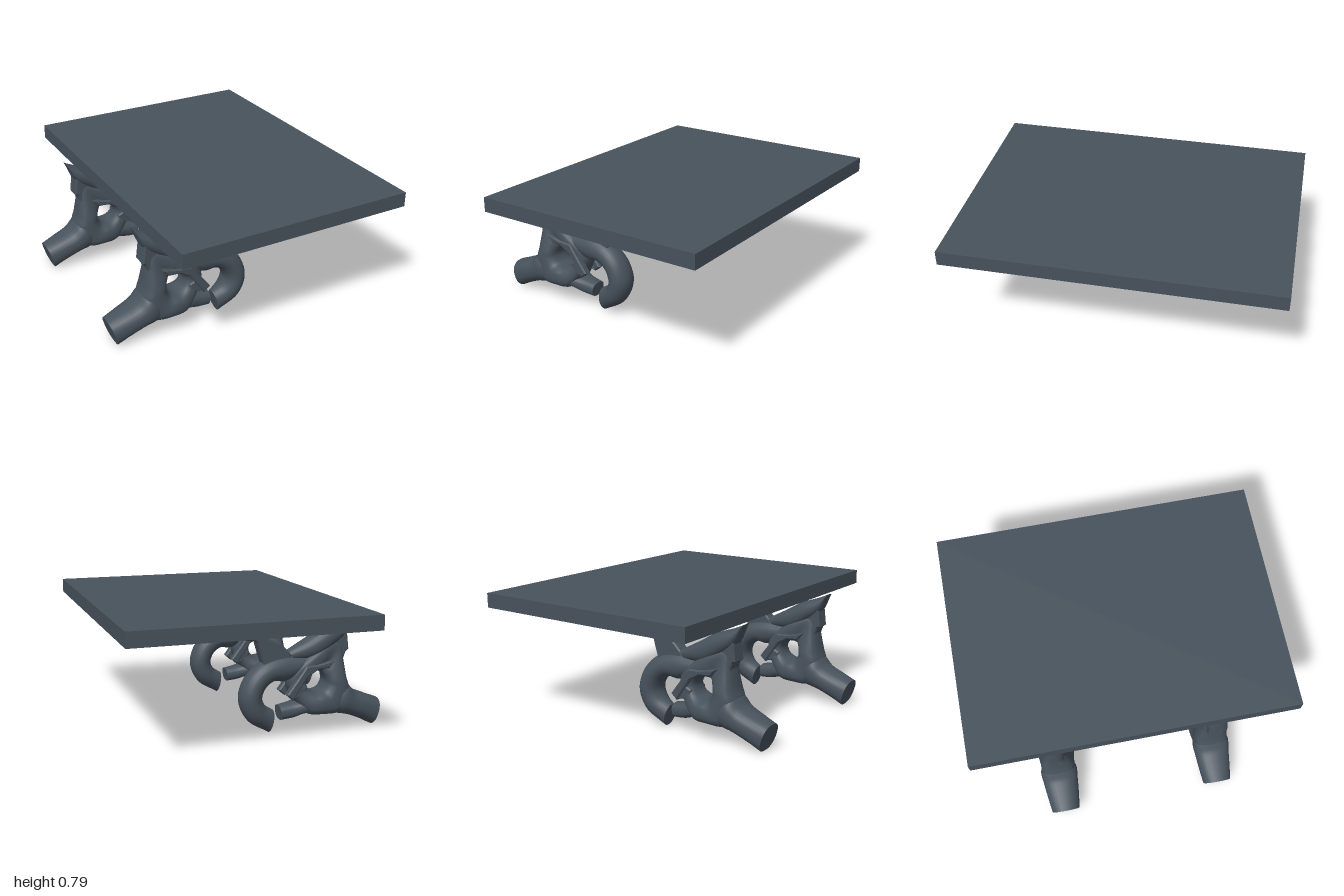
import * as THREE from 'three';

const slate = new THREE.MeshStandardMaterial({ color: 0x47525c });
slate.name = 'slate grey';

// Sweeps a rounded section along pairs of edge points: [topX, topY, bottomX, bottomY, halfDepth]
function loft(name, rows, { closed = false, power = 1, steps = 32, sides = 24 } = {}) {
  const top = new THREE.CatmullRomCurve3(rows.map(r => new THREE.Vector3(r[0], r[1], r[4])), closed, 'centripetal');
  const low = new THREE.CatmullRomCurve3(rows.map(r => new THREE.Vector3(r[2], r[3], 0)), closed, 'centripetal');
  const pos = [], idx = [];
  const soft = v => Math.sign(v) * Math.abs(v) ** power;
  const ring = t => {
    const a = top.getPoint(t), b = low.getPoint(t);
    for (let j = 0; j < sides; j++) {
      const angle = j / sides * Math.PI * 2;
      const c = soft(Math.cos(angle)) / 2;
      pos.push(a.x * (0.5 + c) + b.x * (0.5 - c), a.y * (0.5 + c) + b.y * (0.5 - c), a.z * soft(Math.sin(angle)));
    }
    return [(a.x + b.x) / 2, (a.y + b.y) / 2, 0];
  };
  const count = closed ? steps : steps + 1;
  for (let i = 0; i < count; i++) ring(i / steps);
  for (let i = 0; i < steps; i++) {
    for (let j = 0; j < sides; j++) {
      const k = (j + 1) % sides, n = (i + 1) % count;
      const a = i * sides + j, b = i * sides + k, c = n * sides + k, d = n * sides + j;
      idx.push(a, b, c, a, c, d);
    }
  }
  // Flat end caps with their own vertices
  if (!closed) for (const t of [0, 1]) {
    const start = pos.length / 3;
    pos.push(...ring(t));
    for (let j = 0; j < sides; j++) {
      const p = start + j, q = start + (j + 1) % sides;
      idx.push(start + sides, ...(t ? [p, q] : [q, p]));
    }
  }
  // Turn the faces outward
  const v = i => new THREE.Vector3().fromArray(pos, i * 3);
  let volume = 0;
  for (let i = 0; i < idx.length; i += 3) volume += v(idx[i]).dot(v(idx[i + 1]).cross(v(idx[i + 2])));
  if (volume < 0) idx.reverse();
  const geo = new THREE.BufferGeometry();
  geo.setAttribute('position', new THREE.Float32BufferAttribute(pos, 3));
  geo.setIndex(idx);
  geo.computeVertexNormals();
  const mesh = new THREE.Mesh(geo, slate);
  mesh.name = name;
  return mesh;
}

// Bevelled plate cut from an outline, centred on the given depth
function plate(name, points, depth, z = 0) {
  const shape = new THREE.Shape(points.map(p => new THREE.Vector2(...p)));
  const bevel = 0.008;
  const geo = new THREE.ExtrudeGeometry(shape, {
    depth: depth - bevel * 2, bevelThickness: bevel, bevelSize: bevel, bevelOffset: -bevel, bevelSegments: 1,
  });
  geo.translate(0, 0, z - depth / 2 + bevel);
  const mesh = new THREE.Mesh(geo, slate);
  mesh.name = name;
  return mesh;
}

function createSupport() {
  const g = new THREE.Group();
  g.name = 'support';

  // Body: a swollen ring around the through hole
  const hx = -0.425, hy = 0.31, hr = 0.064;
  const outline = [
    [-0.245, 0.31, 0.07], [-0.275, 0.4, 0.075], [-0.36, 0.47, 0.08], [-0.47, 0.54, 0.075],
    [-0.585, 0.57, 0.06], [-0.605, 0.45, 0.08], [-0.625, 0.33, 0.1], [-0.645, 0.25, 0.105],
    [-0.59, 0.11, 0.11], [-0.46, 0.1, 0.118], [-0.37, 0.11, 0.11], [-0.29, 0.2, 0.085],
  ];
  g.add(loft('body', outline.map(([x, y, d]) => {
    const a = Math.atan2(y - hy, x - hx);
    return [x, y, hx + hr * Math.cos(a), hy + hr * Math.sin(a), d];
  }), { closed: true, power: 0.75, steps: 72 }));

  // Thick foot reaching down to the ground
  g.add(loft('foot', [
    [-0.86, 0.165, -0.812, 0, 0.088], [-0.77, 0.2, -0.735, 0.04, 0.1],
    [-0.68, 0.24, -0.64, 0.078, 0.11], [-0.62, 0.3, -0.56, 0.095, 0.115],
    [-0.55, 0.3, -0.5, 0.11, 0.09],
  ], { power: 0.85 }));

  // Short lower stub
  g.add(loft('lowerStub', [
    [-0.42, 0.2, -0.44, 0.11, 0.09], [-0.34, 0.2, -0.35, 0.112, 0.085],
    [-0.27, 0.185, -0.28, 0.09, 0.065], [-0.19, 0.17, -0.2, 0.08, 0.055],
  ], { power: 0.8 }));

  // Curled horn
  g.add(loft('horn', [
    [-0.42, 0.47, -0.36, 0.39, 0.06], [-0.32, 0.48, -0.28, 0.34, 0.07],
    [-0.2, 0.485, -0.215, 0.32, 0.075], [-0.07, 0.445, -0.16, 0.328, 0.08],
    [0.025, 0.355, -0.105, 0.295, 0.085], [0.063, 0.225, -0.08, 0.235, 0.088],
    [0.01, 0.095, -0.1, 0.185, 0.082], [-0.125, 0.008, -0.157, 0.145, 0.058],
  ], { steps: 48 }));

  // Pointed crest sloping down from the rear
  g.add(loft('crest', [
    [-0.672, 0.714, -0.668, 0.7, 0.035], [-0.6, 0.682, -0.625, 0.6, 0.06],
    [-0.48, 0.638, -0.545, 0.53, 0.075], [-0.36, 0.57, -0.42, 0.46, 0.072],
    [-0.24, 0.505, -0.29, 0.45, 0.045],
  ], { power: 0.9 }));

  // Upper arm that meets the top
  g.add(plate('arm', [
    [-0.26, 0.47], [-0.25, 0.5], [-0.19, 0.56], [-0.1, 0.605], [-0.07, 0.65], [-0.03, 0.675],
    [-0.01, 0.6], [-0.04, 0.575], [-0.08, 0.44], [-0.16, 0.42],
  ], 0.085));
  g.add(plate('armHead', [
    [-0.075, 0.63], [-0.035, 0.7], [0.042, 0.7], [0.05, 0.63], [0.03, 0.59], [-0.05, 0.585],
  ], 0.07));

  // Ridges behind the neck
  g.add(plate('neckRidge', [
    [-0.62, 0.62], [-0.635, 0.5], [-0.615, 0.485], [-0.6, 0.44], [-0.54, 0.46], [-0.54, 0.6],
  ], 0.1));

  // Side brow blades and cheek strips
  for (const side of [-1, 1]) {
    g.add(plate('browBlade', [
      [-0.53, 0.445], [-0.42, 0.425], [-0.34, 0.42], [-0.29, 0.35], [-0.215, 0.25],
      [-0.255, 0.215], [-0.3, 0.28], [-0.35, 0.355], [-0.42, 0.395], [-0.49, 0.4],
    ], 0.05, side * 0.066));
    g.add(plate('cheekStrip', [
      [-0.35, 0.29], [-0.31, 0.31], [-0.25, 0.22], [-0.335, 0.235], [-0.345, 0.26],
    ], 0.04, side * 0.058));
  }
  return g;
}

export function createModel() {
  const model = new THREE.Group();
  model.name = 'table';

  const top = new THREE.Mesh(new THREE.BoxGeometry(1.48, 0.09, 2), slate);
  top.name = 'tabletop';
  top.position.set(0.118, 0.747, 0);
  model.add(top);

  // Matching supports under the tabletop
  for (const z of [-0.5, 0.5]) {
    const support = createSupport();
    support.position.z = z;
    model.add(support);
  }
  return model;
}
